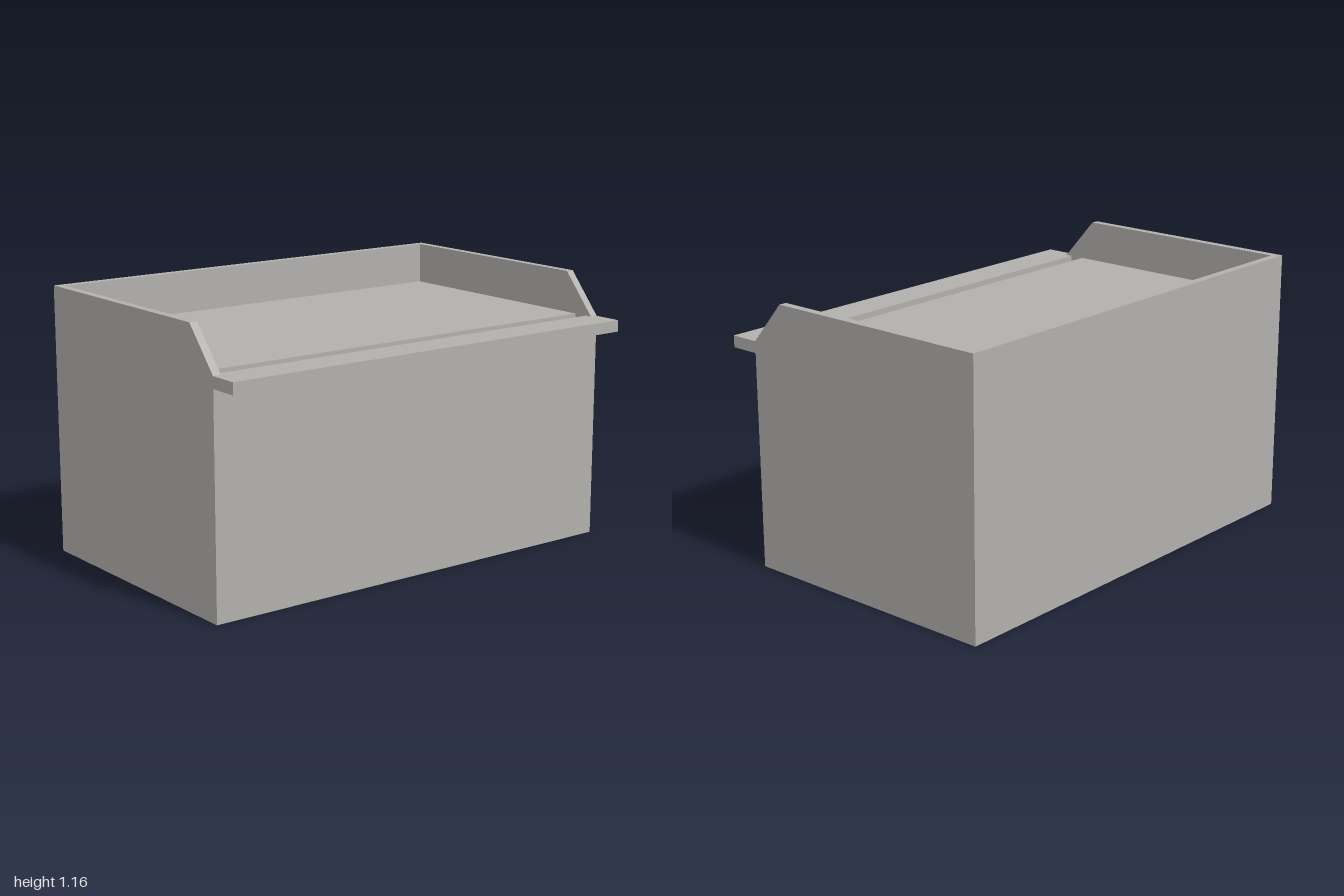
import * as THREE from 'three';

export function createModel() {
  const group = new THREE.Group();
  const grey = new THREE.MeshStandardMaterial({ color: 0xb2b0ad });
  grey.name = 'warm grey';

  const BACK = -0.66, FRONT = 0.53, LIP = 0.66;   // depth limits
  const BASE = 0.93, DECK = 0.98, TOP = 1.16;     // heights
  const WALL = 0.035, INNER = 1 - WALL;

  // Box given by its limits on each axis
  function block(name, x0, x1, y0, y1, z0, z1) {
    const mesh = new THREE.Mesh(new THREE.BoxGeometry(x1 - x0, y1 - y0, z1 - z0), grey);
    mesh.position.set((x0 + x1) / 2, (y0 + y1) / 2, (z0 + z1) / 2);
    mesh.name = name;
    group.add(mesh);
  }

  // Cabinet body and the worktop, with a slot left open behind the ledge
  block('body', -1, 1, 0, BASE, BACK, FRONT);
  block('worktop', -INNER, INNER, BASE, DECK, BACK + WALL, 0.435);
  block('ledgeRear', -INNER, INNER, BASE, DECK, 0.5, FRONT);
  block('ledge', -1, 1, BASE, DECK, FRONT, LIP);
  block('backWall', -INNER, INNER, BASE, TOP, BACK, BACK + WALL);

  // Side walls with a sloping front end; the profile's x runs along -z
  const profile = new THREE.Shape([
    [-FRONT, BASE], [-BACK, BASE], [-BACK, TOP], [-0.375, TOP], [-FRONT, DECK],
  ].map(([a, b]) => new THREE.Vector2(a, b)));
  const wallGeometry = new THREE.ExtrudeGeometry(profile, { depth: WALL, bevelEnabled: false });
  wallGeometry.rotateY(Math.PI / 2);
  for (const [name, x] of [['leftWall', INNER], ['rightWall', -1]]) {
    const wall = new THREE.Mesh(wallGeometry, grey);
    wall.position.x = x;
    wall.name = name;
    group.add(wall);
  }
  return group;
}
